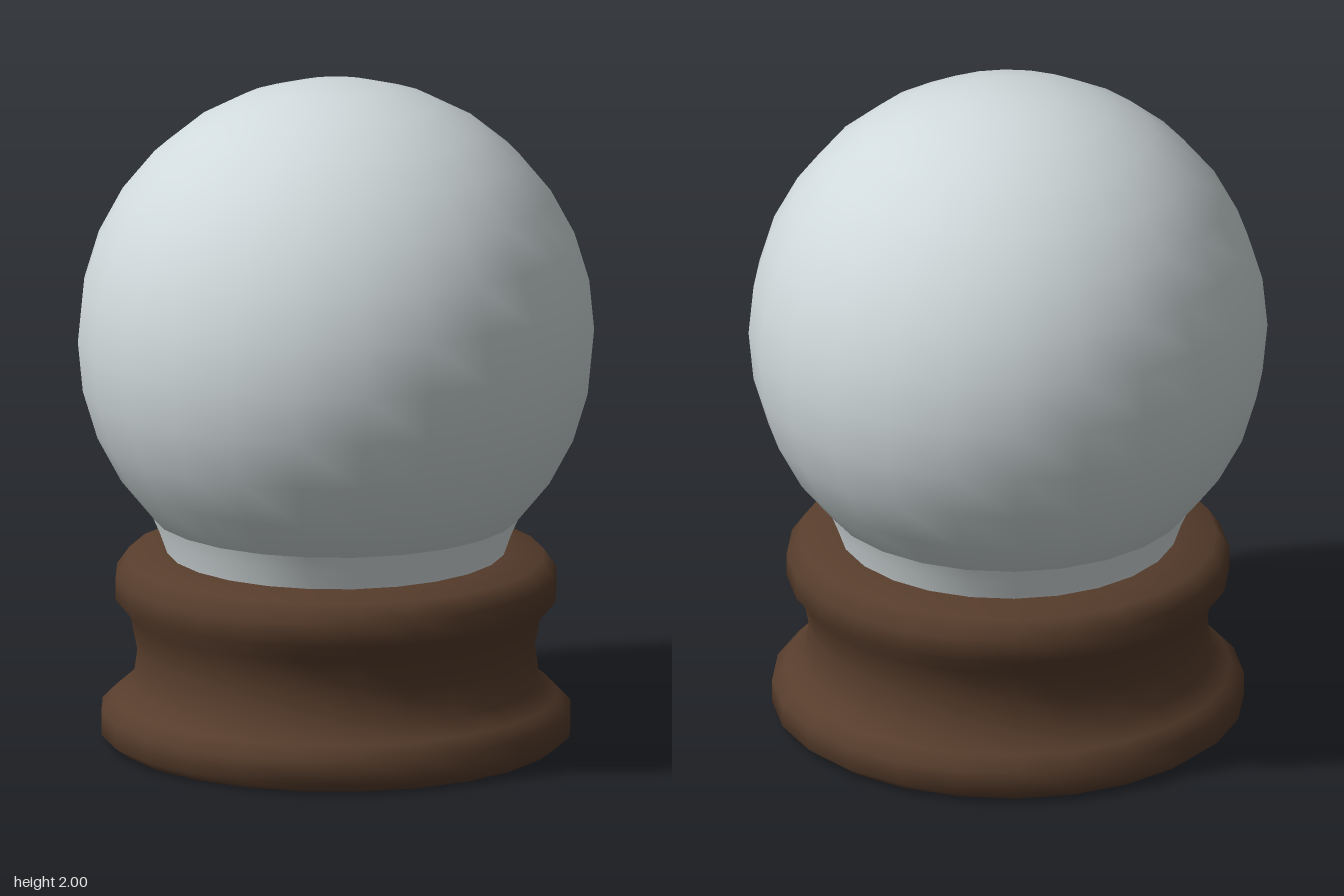
import * as THREE from 'three';

const SIDES = 24;

function material(name, color) {
  const m = new THREE.MeshStandardMaterial({ color, side: THREE.DoubleSide });
  m.name = name;
  return m;
}

// Revolves [radius, height] pairs, listed from bottom to top, about the y axis
function lathe(name, profile, mat) {
  const points = profile.map(([r, y]) => new THREE.Vector2(r, y));
  const mesh = new THREE.Mesh(new THREE.LatheGeometry(points, SIDES), mat);
  mesh.name = name;
  return mesh;
}

export function createModel() {
  const glass = material('pale glass', 0xd0d9db);
  const white = material('white', 0xe8f0f2);
  const wood = material('dark wood', 0x573d2c);

  const model = new THREE.Group();
  model.name = 'globeOnStand';

  // Glass ball, open at the bottom where it meets the collar
  const ball = new THREE.Mesh(
    new THREE.SphereGeometry(0.77, SIDES, 12, 0, Math.PI * 2, 0, Math.PI * 0.75), glass);
  ball.name = 'glassBall';
  ball.position.y = 1.23;
  model.add(ball);

  // Tapered collar between ball and stand
  model.add(lathe('collar', [[0.5, 0.57], [0.525, 0.64], [0.545, 0.686]], white));

  // Floor inside the collar
  const floor = new THREE.Mesh(new THREE.CircleGeometry(0.522, SIDES), white);
  floor.name = 'innerFloor';
  floor.rotation.x = -Math.PI / 2;
  floor.position.y = 0.64;
  model.add(floor);

  // Hollow turned stand with a waist, open underneath
  model.add(lathe('stand', [
    [0.66, 0], [0.7, 0.03], [0.7, 0.1], [0.66, 0.14], [0.605, 0.185], [0.592, 0.285],
    [0.612, 0.385], [0.657, 0.44], [0.657, 0.51], [0.62, 0.562], [0.5, 0.58],
  ], wood));

  return model;
}
